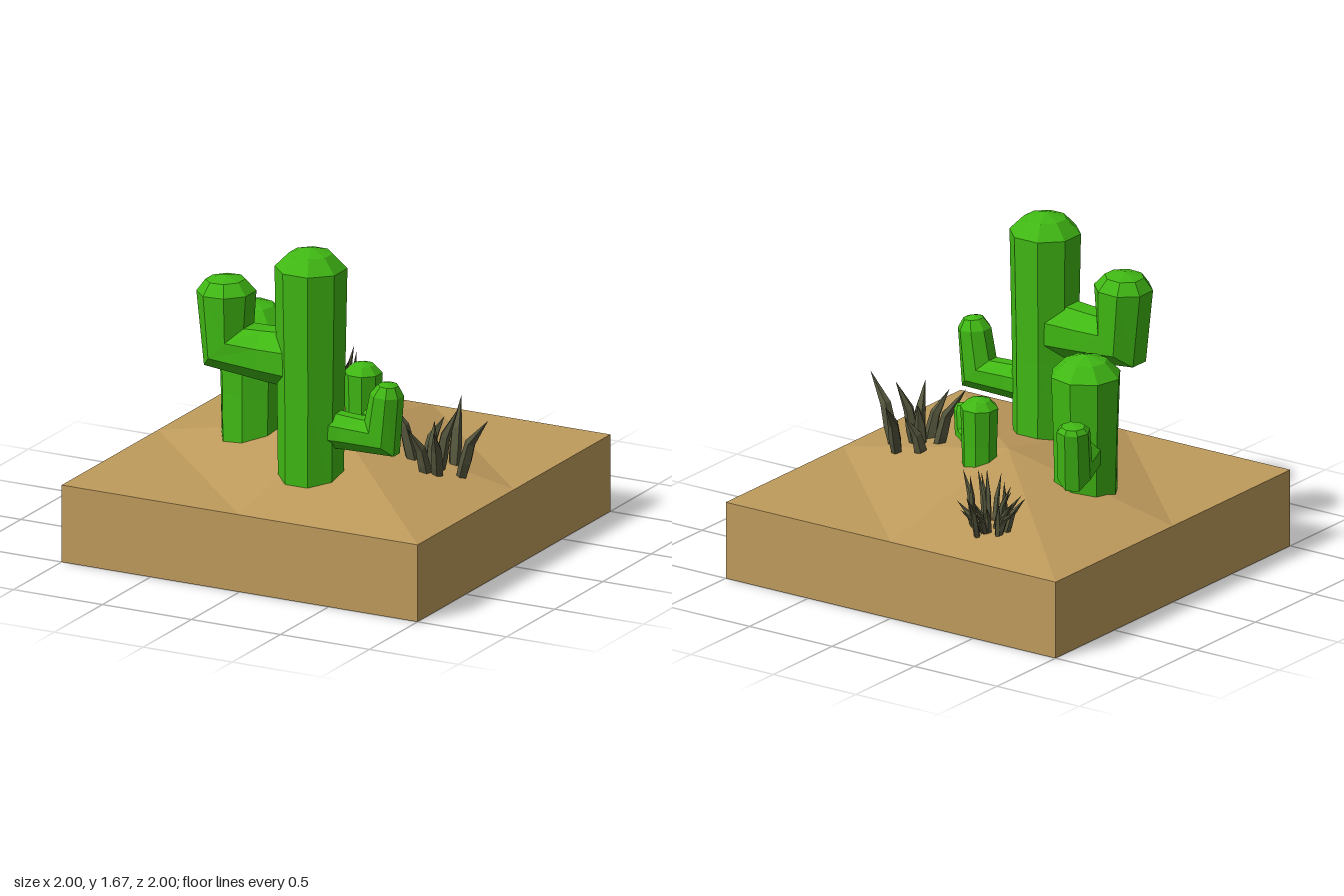
import * as THREE from 'three';

const mat = (color) => new THREE.MeshStandardMaterial({ color, flatShading: true, side: THREE.DoubleSide });

// Low-poly limb swept through [u, v, inPlaneRadius, depthRadius, directionDegrees] sections,
// closed by an apex point; u runs along local x, v is height.
function limb(name, sections, apex, sides, material, phase = 0.5) {
  const pos = [], index = [];
  for (const [u, v, r, w, deg] of sections) {
    const t = THREE.MathUtils.degToRad(deg);
    for (let k = 0; k < sides; k++) {
      const a = ((k + phase) / sides) * Math.PI * 2;
      const c = Math.cos(a) * r;
      pos.push(u - Math.sin(t) * c, v + Math.cos(t) * c, Math.sin(a) * w);
    }
  }
  pos.push(apex[0], apex[1], 0);
  const last = sections.length - 1, tip = sections.length * sides;
  for (let s = 0; s <= last; s++) {
    for (let k = 0; k < sides; k++) {
      const i = s * sides + k, n = s * sides + ((k + 1) % sides);
      if (s === last) index.push(i, n, tip);
      else index.push(i, n, i + sides, n, n + sides, i + sides);
    }
  }
  const g = new THREE.BufferGeometry();
  g.setAttribute('position', new THREE.Float32BufferAttribute(pos, 3));
  g.setIndex(index);
  g.computeVertexNormals();
  const mesh = new THREE.Mesh(g, material);
  mesh.name = name;
  return mesh;
}

// Turn a limb's local x axis towards (dx, dz)
function aim(mesh, dx, dz) {
  mesh.rotation.y = Math.atan2(-dz, dx);
  return mesh;
}

// Upright column with a bevelled crown
function trunk(bottom, top, r, phase) {
  const m = mat(0x40b814);
  return limb('trunk', [
    [0, bottom, r * 0.93, r * 0.95, 90],
    [0, bottom + (top - bottom) * 0.4, r * 0.97, r * 0.94, 90],
    [0, top - r * 0.6, r * 1.04, r * 1.02, 90],
    [0, top - r * 0.18, r * 0.62, r * 0.62, 90],
  ], [0, top], 8, m, phase);
}

function cactus(name, x, z, column, arms) {
  const group = new THREE.Group();
  group.name = name;
  group.position.set(x, 0, z);
  group.add(column);
  for (const { dir, sections, apex } of arms) {
    group.add(aim(limb('arm', sections, apex, 8, mat(0x40b814)), dir[0], dir[1]));
  }
  return group;
}

// Bent dry twig from a ground point to a tip
function twig(bx, by, bz, tx, ty, tz, r, material) {
  const d = Math.hypot(tx - bx, tz - bz), h = ty - by;
  const mesh = limb('twig', [
    [0, by, r * 0.8, r * 0.8, 80],
    [d * 0.18, by + h * 0.3, r, r, 72],
    [d * 0.36, by + h * 0.6, r * 0.85, r * 0.85, 60],
  ], [d, ty], 5, material);
  mesh.position.set(bx, 0, bz);
  return aim(mesh, tx - bx, tz - bz);
}

export function createModel() {
  const model = new THREE.Group();
  model.name = 'desertTile';

  // Sand block with its middle top vertex raised
  const sand = new THREE.BoxGeometry(2, 0.4, 2, 2, 1, 2).rotateY(Math.PI / 2).translate(0, 0.2, 0);
  const p = sand.attributes.position;
  for (let i = 0; i < p.count; i++) {
    if (p.getY(i) > 0.3 && Math.hypot(p.getX(i), p.getZ(i)) < 0.01) p.setY(i, 0.6);
  }
  sand.computeVertexNormals();
  const ground = new THREE.Mesh(sand, mat(0xbf9b5c));
  ground.name = 'sandGround';
  model.add(ground);

  // Tall cactus with two arms
  model.add(cactus('tallCactus', 0.13, 0.5, trunk(0.42, 1.67, 0.175, 0.5), [
    { dir: [-1, 0], apex: [0.48, 1.455], sections: [
      [0, 1.08, 0.16, 0.15, 0], [0.25, 1.08, 0.14, 0.135, 0], [0.46, 1.095, 0.17, 0.145, 45],
      [0.475, 1.37, 0.15, 0.148, 88], [0.48, 1.43, 0.1, 0.1, 88]] },
    { dir: [1, 0], apex: [0.435, 1.035], sections: [
      [0, 0.75, 0.11, 0.1, 0], [0.2, 0.745, 0.095, 0.08, 0], [0.4, 0.745, 0.125, 0.085, 45],
      [0.428, 0.97, 0.085, 0.085, 86], [0.435, 1.02, 0.05, 0.055, 86]] },
  ]));

  // Medium cactus
  model.add(cactus('mediumCactus', -0.45, 0.03, trunk(0.4, 1.18, 0.175, 0.2), [
    { dir: [-0.2, -0.39], apex: [0.435, 0.965], sections: [
      [0, 0.69, 0.11, 0.11, 0], [0.22, 0.69, 0.1, 0.095, 0], [0.38, 0.705, 0.125, 0.09, 45],
      [0.425, 0.93, 0.085, 0.085, 86], [0.435, 0.955, 0.06, 0.06, 86]] },
  ]));

  // Small cactus
  model.add(cactus('smallCactus', 0.085, -0.125, trunk(0.48, 0.89, 0.093, 0.5), [
    { dir: [0.19, 0.12], apex: [0.225, 0.785], sections: [
      [0, 0.63, 0.05, 0.05, 0], [0.12, 0.63, 0.045, 0.045, 0], [0.2, 0.64, 0.06, 0.045, 45],
      [0.22, 0.75, 0.045, 0.042, 88], [0.225, 0.775, 0.03, 0.03, 88]] },
  ]));

  // Large dry bush: base x, base z, tip x, tip y, tip z
  const dry = mat(0x55563d);
  const largeBush = new THREE.Group();
  largeBush.name = 'largeDryBush';
  for (const [bx, bz, tx, ty, tz] of [
    [0.74, 0.07, 0.92, 0.78, 0.12], [0.49, 0.08, 0.31, 0.82, 0.08], [0.64, -0.04, 0.58, 0.76, -0.23],
    [0.65, 0.14, 0.7, 0.73, 0.28], [0.6, 0.16, 0.54, 0.72, 0.26], [0.49, -0.03, 0.55, 0.68, -0.11],
    [0.62, 0.09, 0.71, 0.79, 0.04], [0.58, 0.08, 0.57, 0.7, 0.03],
  ]) largeBush.add(twig(bx, 0.43, bz, tx, ty, tz, 0.033, dry));
  model.add(largeBush);

  // Small dry bush: twigs spread around a centre by the golden angle
  const smallBush = new THREE.Group();
  smallBush.name = 'smallDryBush';
  for (let i = 0; i < 18; i++) {
    const a = i * 2.4, reach = 0.1 + 0.022 * (i % 6), b = 0.03 + 0.012 * (i % 7);
    const cx = -0.38, cz = -0.69, c = Math.cos(a), s = Math.sin(a + 0.2 * (i % 3));
    smallBush.add(twig(cx + c * b, 0.43, cz + s * b * 0.9,
      cx + c * reach, 0.58 + 0.035 * ((i * 3) % 5), cz + s * reach * 0.9, 0.017, dry));
  }
  smallBush.add(twig(-0.27, 0.43, -0.66, -0.14, 0.69, -0.58, 0.02, dry));
  smallBush.add(twig(-0.47, 0.43, -0.68, -0.59, 0.66, -0.68, 0.018, dry));
  smallBush.add(twig(-0.37, 0.43, -0.78, -0.38, 0.68, -0.89, 0.018, dry));
  model.add(smallBush);

  return model;
}
